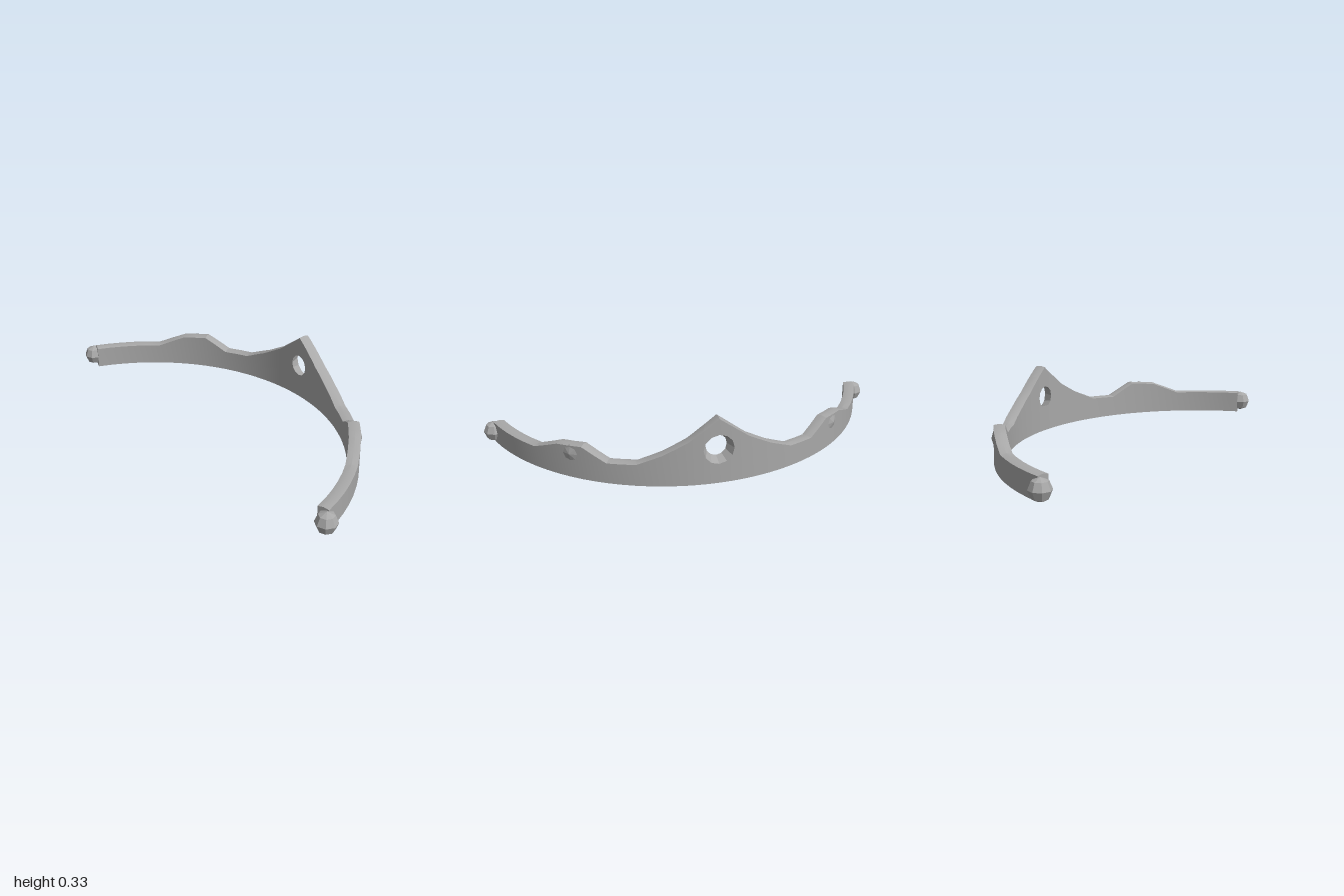
import * as THREE from 'three';
import { toCreasedNormals } from 'three/addons/utils/BufferGeometryUtils.js';

const OUT = 1.0, IN = 0.947, CENTRE_Z = 0.625, END = 1.25;
const HOLE = { y: 0.175, rOut: 0.072, rIn: 0.053, steps: 6 };

// Height of the upper edge, as [angle from the middle, y]
const EDGE = [[0, 0.33], [0.143, 0.225], [0.257, 0.165], [0.375, 0.117], [0.51, 0.112],
  [0.63, 0.175], [0.76, 0.165], [0.9, 0.113], [END, 0.113]];

function top(angle) {
  const a = Math.min(Math.abs(angle), END);
  const i = Math.max(1, EDGE.findIndex(p => p[0] >= a));
  const [a0, y0] = EDGE[i - 1], [a1, y1] = EDGE[i];
  return y0 + (y1 - y0) * (a - a0) / (a1 - a0);
}

// Point on the arc: angle 0 is the middle of the back
const onArc = (angle, r, y) => [r * Math.sin(angle), y, CENTRE_Z - r * Math.cos(angle)];

// Six-sided cross-section; o and i hold angle, low y and high y of the outer and inner face
function section(o, i, bevelLow, bevelHigh) {
  const mid = (OUT + IN) / 2, a = (o[0] + i[0]) / 2;
  return [
    onArc(o[0], OUT, o[1]), onArc(o[0], OUT, o[2]),
    onArc(a, mid, (o[2] + i[2]) / 2 + bevelHigh),
    onArc(i[0], IN, i[2]), onArc(i[0], IN, i[1]),
    onArc(a, mid, (o[1] + i[1]) / 2 - bevelLow),
  ];
}

// Skin a row of cross-sections, optionally closing the last (or first) one
function loft(sections, capStart, capEnd) {
  const n = sections[0].length, index = [];
  for (let s = 0; s < sections.length - 1; s++) {
    for (let j = 0; j < n; j++) {
      const a = s * n + j, b = s * n + (j + 1) % n;
      index.push(a, b, b + n, a, b + n, a + n);
    }
  }
  const last = (sections.length - 1) * n;
  for (let j = 1; j < n - 1; j++) {
    if (capStart) index.push(0, j + 1, j);
    if (capEnd) index.push(last, last + j, last + j + 1);
  }
  const g = new THREE.BufferGeometry();
  g.setAttribute('position', new THREE.Float32BufferAttribute(sections.flat(2), 3));
  g.setIndex(index);
  return toCreasedNormals(g, 0.45);
}

const LOW = 0.006, BEVEL = 0.005;
const edgeY = a => top(a) - BEVEL;

// Side of the band, from the hole out to the tip
function sideSections(sign) {
  const angles = [0.11, 0.143, 0.2, 0.257, 0.315, 0.375, 0.44, 0.51, 0.57, 0.63, 0.695,
    0.76, 0.83, 0.9, 0.97, 1.04, 1.11, 1.18, END];
  const list = angles.map(a => {
    const f = [sign * a, LOW, edgeY(a)];
    return section(f, f, BEVEL, BEVEL);
  });
  const o = sign * HOLE.rOut, i = sign * HOLE.rIn;
  list.unshift(section([o, LOW, edgeY(o)], [i, LOW, edgeY(i)], BEVEL, BEVEL));
  return sign > 0 ? list : list.reverse();
}

// Bridge above or below the round hole
function bridgeSections(above) {
  const list = [];
  for (let k = 0; k <= HOLE.steps; k++) {
    const phi = Math.PI * k / HOLE.steps;
    const face = r => {
      const a = -r * Math.cos(phi), dy = r * Math.sin(phi);
      return above ? [a, HOLE.y + dy, edgeY(a)] : [a, LOW, HOLE.y - dy];
    };
    list.push(section(face(HOLE.rOut), face(HOLE.rIn), above ? 0 : BEVEL, above ? BEVEL : 0));
  }
  return list;
}

export function createModel() {
  const metal = new THREE.MeshStandardMaterial({ color: 0xa8a8a8 });
  metal.name = 'greyMetal';
  const model = new THREE.Group();
  model.name = 'tiara';
  const add = (name, geometry) => {
    const mesh = new THREE.Mesh(geometry, metal);
    mesh.name = name;
    model.add(mesh);
    return mesh;
  };

  add('bridgeAboveHole', loft(bridgeSections(true)));
  add('bridgeBelowHole', loft(bridgeSections(false)));

  for (const sign of [1, -1]) {
    const side = sign > 0 ? 'left' : 'right';
    add(side + 'Band', loft(sideSections(sign), sign < 0, sign > 0));

    // Faceted knob on the tip
    const knob = new THREE.SphereGeometry(0.05, 8, 4).toNonIndexed();
    knob.computeVertexNormals();
    add(side + 'TipKnob', knob).position.set(sign * 0.95, 0.058, 0.322);

    // Low faceted stud set into the outer face below the small crest
    const stud = new THREE.ConeGeometry(0.044, 0.012, 8).toNonIndexed();
    stud.computeVertexNormals();
    stud.rotateX(-Math.PI / 2);
    const mesh = add(side + 'Stud', stud);
    mesh.position.set(...onArc(sign * 0.69, OUT + 0.003, 0.126));
    mesh.rotation.y = -sign * 0.69;
  }
  return model;
}
